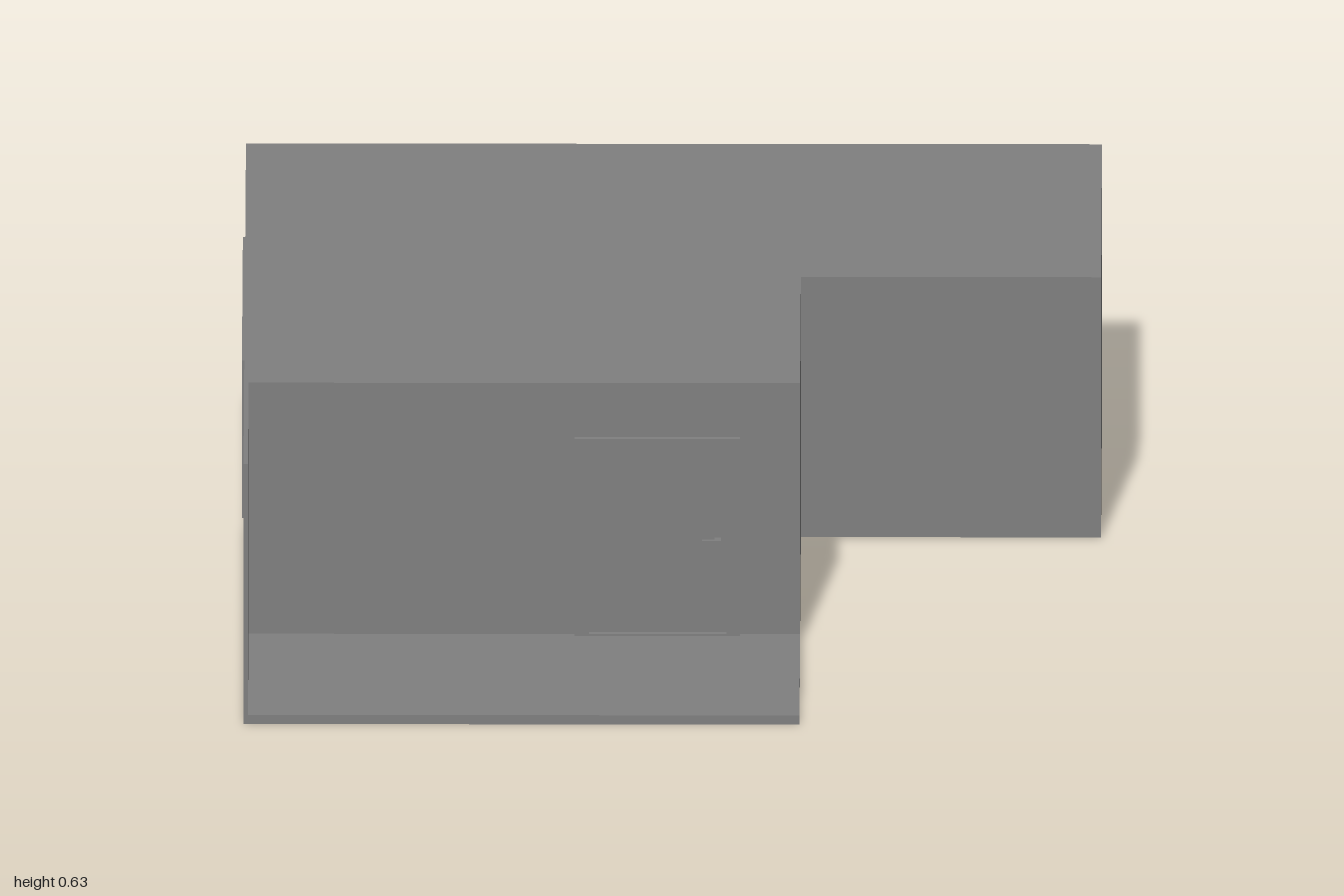
import * as THREE from 'three';

const wallGrey = new THREE.MeshStandardMaterial({ color: 0x808080 });
wallGrey.name = 'wall grey';
const paneGrey = new THREE.MeshStandardMaterial({ color: 0xd0d0d0 });
paneGrey.name = 'pane light grey';

// Box given by its minimum and maximum corners
function box(name, [x0, y0, z0], [x1, y1, z1], material = wallGrey) {
  const mesh = new THREE.Mesh(new THREE.BoxGeometry(x1 - x0, y1 - y0, z1 - z0), material);
  mesh.position.set((x0 + x1) / 2, (y0 + y1) / 2, (z0 + z1) / 2);
  mesh.name = name;
  return mesh;
}

// Flat frame in the xy plane with rectangular openings [x0, y0, x1, y1]
function frame(name, outer, openings, depth) {
  const rect = (T, [x0, y0, x1, y1]) => new T([
    new THREE.Vector2(x0, y0), new THREE.Vector2(x1, y0),
    new THREE.Vector2(x1, y1), new THREE.Vector2(x0, y1),
  ]);
  const shape = rect(THREE.Shape, outer);
  shape.holes = openings.map((o) => rect(THREE.Path, o));
  const mesh = new THREE.Mesh(
    new THREE.ExtrudeGeometry(shape, { depth, bevelEnabled: false }), wallGrey);
  mesh.name = name;
  return mesh;
}

export function createModel() {
  const model = new THREE.Group();
  model.name = 'house';
  const left = -0.96, right = 0.965, inner = 0.29;
  const height = 0.627, front = 0.493, notch = -0.17;

  // L-shaped closed building
  const plan = new THREE.Shape([
    [left, 1], [left, -front], [inner, -front], [inner, -notch], [right, -notch], [right, 1],
  ].map(([x, y]) => new THREE.Vector2(x, y)));
  const walls = new THREE.Mesh(
    new THREE.ExtrudeGeometry(plan, { depth: height, bevelEnabled: false }), wallGrey);
  walls.rotation.x = -Math.PI / 2;
  walls.name = 'building';
  model.add(walls);

  // Porch floor and side screen wall
  model.add(box('porchFloor', [left + 0.01, 0, front], [inner, 0.022, 1]));
  model.add(box('porchSideWall', [left, 0, front], [left + 0.01, height, 1]));

  // Door: raised casing, leaf and lever handle
  const door = new THREE.Group();
  door.name = 'door';
  const casing = frame('doorCasing', [-0.217, 0.022, 0.155, 0.497],
    [[-0.185, 0.027, 0.125, 0.467]], 0.013);
  casing.position.z = front;
  door.add(casing);
  door.add(box('doorLeaf', [-0.181, 0.03, front], [0.123, 0.464, front + 0.004]));
  door.add(box('handleStem', [0.098, 0.246, front], [0.112, 0.256, front + 0.026]));
  door.add(box('handleLever', [0.07, 0.247, front + 0.016], [0.112, 0.256, front + 0.026]));
  model.add(door);

  // Four-pane window on the right-hand side wall
  const win = new THREE.Group();
  win.name = 'window';
  const w = 0.385, h = 0.19, rim = 0.035, bar = 0.012;
  const openings = [];
  for (const sx of [-1, 1]) {
    for (const sy of [-1, 1]) {
      const xs = [sx * bar, sx * (w - rim)].sort((a, b) => a - b);
      const ys = [sy * bar, sy * (h - rim)].sort((a, b) => a - b);
      openings.push([xs[0], ys[0], xs[1], ys[1]]);
      win.add(box('windowPane', [xs[0], ys[0], 0], [xs[1], ys[1], 0.002], paneGrey));
    }
  }
  win.add(frame('windowFrame', [-w, -h, w, h], openings, 0.006));
  win.rotation.y = -Math.PI / 2;
  win.position.set(left, 0.35, -0.255);
  model.add(win);

  return model;
}
